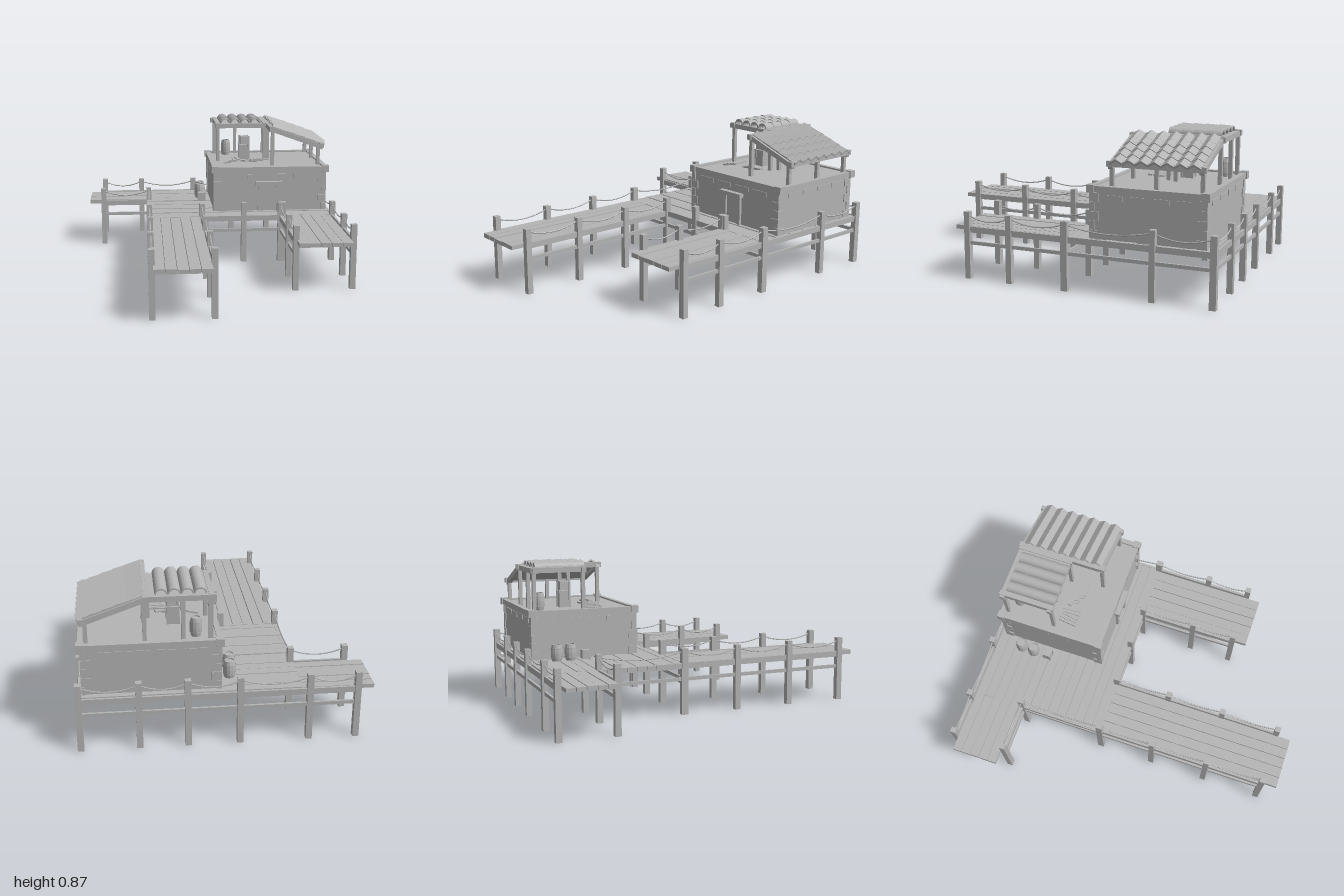
import * as THREE from 'three';

const mat = new THREE.MeshStandardMaterial({ color: 0xb4b4b4, side: THREE.DoubleSide, flatShading: true });
mat.name = 'weathered grey';

// Small seeded generator for slight irregularity
let seed = 7;
const rnd = () => (seed = (seed * 16807) % 2147483647) / 2147483647;

function add(parent, name, geo, x = 0, y = 0, z = 0) {
  const m = new THREE.Mesh(geo, mat);
  m.name = name;
  m.position.set(x, y, z);
  parent.add(m);
  return m;
}

// Box given by its limits on each axis
function box(parent, name, x0, x1, y0, y1, z0, z1) {
  return add(parent, name, new THREE.BoxGeometry(x1 - x0, y1 - y0, z1 - z0),
    (x0 + x1) / 2, (y0 + y1) / 2, (z0 + z1) / 2);
}

function group(parent, name) {
  const g = new THREE.Group();
  g.name = name;
  parent.add(g);
  return g;
}

// Deck of planks running along x or z, with thin wedge gaps between them
function deck(parent, name, x0, x1, z0, z1, count, alongX) {
  const g = group(parent, name);
  const w = (alongX ? z1 - z0 : x1 - x0) / count;
  for (let i = 0; i < count; i++) {
    const top = 0.3 + rnd() * 0.005, gap = 0.002 + rnd() * 0.002;
    const a = (alongX ? z0 : x0) + i * w, b = a + w - gap;
    if (alongX) box(g, 'plank', x0, x1, 0.278, top, a, b);
    else box(g, 'plank', a, b, 0.278, top, z0, z1);
  }
}

// Row of posts joined by an upper beam, a lower beam and sagging ropes
function railing(parent, name, pts, ropes = true) {
  const g = group(parent, name);
  pts.forEach(([x, z], i) => {
    box(g, 'post', x - 0.017, x + 0.017, 0, 0.39, z - 0.017, z + 0.017);
    if (!i) return;
    const [px, pz] = pts[i - 1];
    const len = Math.hypot(x - px, z - pz), mx = (x + px) / 2, mz = (z + pz) / 2;
    const turn = -Math.atan2(z - pz, x - px);
    add(g, 'upperBeam', new THREE.BoxGeometry(len, 0.034, 0.014), mx, 0.287, mz).rotation.y = turn;
    add(g, 'lowerBeam', new THREE.BoxGeometry(len, 0.02, 0.014), mx, 0.21, mz).rotation.y = turn;
    if (!ropes) return;
    const curve = new THREE.QuadraticBezierCurve3(
      new THREE.Vector3(px, 0.372, pz), new THREE.Vector3(mx, 0.305, mz), new THREE.Vector3(x, 0.372, z));
    add(g, 'rope', new THREE.TubeGeometry(curve, 10, 0.004, 5));
  });
}

function barrel(parent, x, y, z, r, h) {
  const prof = [[0, 0], [r * 0.78, 0], [r * 0.97, h * 0.3], [r, h * 0.5], [r * 0.97, h * 0.7], [r * 0.78, h],
    [r * 0.66, h], [r * 0.66, h * 0.94], [0, h * 0.94]].map(p => new THREE.Vector2(...p));
  const g = group(parent, 'barrel');
  add(g, 'barrelBody', new THREE.LatheGeometry(prof, 12), x, y, z);
  for (const t of [0.25, 0.75])
    add(g, 'barrelHoop', new THREE.CylinderGeometry(r, r, h * 0.07, 12, 1, true), x, y + h * t, z);
}

function crate(parent, x, y, z, s, h, turn = 0) {
  const g = group(parent, 'crate');
  g.position.set(x, y, z);
  g.rotation.y = turn;
  box(g, 'crateBody', -s * 0.44, s * 0.44, 0, h * 0.96, -s * 0.44, s * 0.44);
  for (const sx of [-1, 1]) for (const sz of [-1, 1])
    add(g, 'crateCorner', new THREE.BoxGeometry(s * 0.16, h, s * 0.16), sx * s * 0.42, h / 2, sz * s * 0.42);
}

function house(root) {
  const g = group(root, 'house');
  const x0 = 0.03, x1 = 0.762, z0 = -0.93, z1 = -0.285;
  box(g, 'walls', x0, x1, 0.3, 0.56, z0, z1);
  box(g, 'terraceFloor', x0, x1, 0.56, 0.584, z0, z1);
  // Parapet beams and their crossing ends
  box(g, 'rimFront', 0.015, 0.78, 0.562, 0.594, -0.305, -0.278);
  box(g, 'rimBack', 0.015, 0.78, 0.562, 0.594, -0.945, -0.915);
  box(g, 'rimLeft', 0.748, 0.778, 0.562, 0.594, -0.94, -0.28);
  box(g, 'rimRight', 0.02, 0.05, 0.562, 0.594, -0.94, -0.28);
  for (const x of [0.035, 0.763]) for (const z of [-0.93, -0.293])
    box(g, 'rimCorner', x - 0.022, x + 0.022, 0.557, 0.6, z - 0.022, z + 0.022);
  // Alternating corner stones
  for (let i = 0; i < 5; i++) {
    const y = 0.302 + i * 0.051, a = i % 2 ? 0.055 : 0.03, b = i % 2 ? 0.03 : 0.055;
    for (const [x, sx] of [[x0, 1], [x1, -1]]) for (const [z, sz] of [[z0, 1], [z1, -1]])
      add(g, 'cornerStone', new THREE.BoxGeometry(a, 0.049, b),
        x + sx * (a / 2 - 0.006), y + 0.0245, z + sz * (b / 2 - 0.006));
  }
  // Frieze blocks below the rim
  for (let i = 0; i < 4; i++) {
    const x = 0.1 + i * 0.15, z = -0.86 + i * 0.13;
    for (const zz of [z0, z1]) box(g, 'friezeBlock', x, x + 0.12, 0.517, 0.547, zz - 0.004, zz + 0.004);
    for (const xx of [x0, x1]) box(g, 'friezeBlock', xx - 0.004, xx + 0.004, 0.517, 0.547, z, z + 0.105);
  }
  // Door with jambs and lintel
  box(g, 'door', 0.345, 0.44, 0.3, 0.475, z1, z1 + 0.005);
  box(g, 'doorJamb', 0.318, 0.345, 0.3, 0.475, z1, z1 + 0.016);
  box(g, 'doorJamb', 0.44, 0.465, 0.3, 0.475, z1, z1 + 0.016);
  box(g, 'lintel', 0.302, 0.478, 0.475, 0.5, z1, z1 + 0.032);
}

function flatCanopy(root) {
  const g = group(root, 'flatCanopy');
  for (const [x, z] of [[0.08, -0.6], [0.08, -0.9], [0.225, -0.9], [0.4, -0.6]])
    box(g, 'canopyPost', x - 0.011, x + 0.011, 0.58, 0.82, z - 0.011, z + 0.011);
  for (const z of [-0.9, -0.6]) box(g, 'canopyBeam', 0.05, 0.425, 0.808, 0.838, z - 0.014, z + 0.014);
  for (const x of [0.078, 0.4]) box(g, 'canopyBeam', x - 0.014, x + 0.014, 0.812, 0.843, -0.92, -0.58);
  box(g, 'canopyBoard', 0.09, 0.39, 0.828, 0.838, -0.9, -0.6);
  // Half-round tiles in overlapping rows
  const arch = new THREE.Shape();
  arch.absarc(0, 0, 0.034, 0, Math.PI, false);
  arch.absarc(0, 0, 0.026, Math.PI, 0, true);
  const tile = new THREE.ExtrudeGeometry(arch, { depth: 0.084, bevelEnabled: false, curveSegments: 6 });
  for (let c = 0; c < 4; c++) for (let r = 0; r < 4; r++)
    add(g, 'roundTile', tile, 0.132 + c * 0.068, 0.836, -0.885 + r * 0.073).rotation.x = -0.06;
}

function slopedCanopy(root) {
  const g = group(root, 'slopedCanopy');
  for (const z of [-0.9, -0.65, -0.4]) {
    box(g, 'roofPost', 0.416, 0.438, 0.58, 0.82, z - 0.011, z + 0.011);
    box(g, 'roofPost', 0.722, 0.744, 0.58, 0.715, z - 0.011, z + 0.011);
  }
  const slope = Math.atan2(0.125, 0.35), rise = Math.tan(slope);
  const yAt = x => 0.826 - (x - 0.415) * rise;
  // Ridge, eave and rafters
  box(g, 'ridgeBeam', 0.405, 0.435, 0.81, 0.842, -0.925, -0.378);
  box(g, 'eaveBeam', 0.742, 0.768, 0.7, 0.73, -0.925, -0.378);
  for (const z of [-0.9, -0.4])
    add(g, 'rafter', new THREE.BoxGeometry(0.38, 0.03, 0.028), 0.585, yAt(0.585), z).rotation.z = -slope;
  add(g, 'roofBoard', new THREE.BoxGeometry(0.36, 0.008, 0.48), 0.59, yAt(0.59) + 0.008, -0.65).rotation.z = -slope;
  // Ridged tiles stepping down the slope
  const w = 0.036, ridge = new THREE.Shape([[-w, 0], [0, 0.022], [w, 0], [w, 0.012], [0, 0.034], [-w, 0.012]]
    .map(p => new THREE.Vector2(...p)));
  const tile = new THREE.ExtrudeGeometry(ridge, { depth: 0.088, bevelEnabled: false });
  tile.rotateY(Math.PI / 2);
  for (let r = 0; r < 5; r++) for (let c = 0; c < 7; c++) {
    const x = 0.425 + r * 0.066;
    add(g, 'ridgedTile', tile, x, yAt(x) + 0.008, -0.863 + c * 0.071).rotation.z = -slope + 0.06 - (r ? 0 : 0.04);
  }
}

function terraceGoods(root) {
  const g = group(root, 'terraceGoods');
  barrel(g, 0.155, 0.584, -0.85, 0.033, 0.105);
  crate(g, 0.265, 0.584, -0.67, 0.072, 0.105);
  crate(g, 0.268, 0.689, -0.67, 0.064, 0.055, 0.1);
  // Loose heaps of short boards
  for (let i = 0; i < 10; i++) {
    const left = i < 5, k = i % 5;
    const b = add(g, 'looseBoard', new THREE.BoxGeometry(0.11, 0.009, 0.024),
      left ? 0.125 + k * 0.02 : 0.285 + k * 0.02, 0.59 + k * 0.005, left ? -0.525 : -0.54 + k * 0.012);
    b.rotation.y = left ? 1.2 + rnd() * 0.7 : -0.5 + rnd() * 0.9;
  }
}

export function createModel() {
  const root = new THREE.Group();
  root.name = 'pierHouse';
  // Walkways
  deck(root, 'sideDock', -0.8, -0.41, -0.965, -0.68, 5, true);
  deck(root, 'mainDeck', -0.41, 0.785, -0.965, -0.14, 14, true);
  deck(root, 'longDock', -0.388, -0.072, -0.14, 1, 5, false);
  deck(root, 'shortDock', 0.452, 0.77, -0.14, 0.555, 5, false);
  // Railings around the edges
  railing(root, 'backRailing', [0.785, 0.47, 0.21, -0.07, -0.445, -0.705].map(x => [x, -0.983]));
  railing(root, 'leftRailing', [-0.98, -0.65, -0.14, 0.2, 0.465].map(z => [0.785, z]));
  railing(root, 'shortDockRailing', [-0.14, 0.2, 0.465].map(z => [0.447, z]));
  railing(root, 'longDockRailing', [-0.14, 0.2, 0.55, 0.905].map(z => [-0.06, z]));
  railing(root, 'rightRailing', [-0.66, -0.14, 0.2, 0.55, 0.905].map(z => [-0.395, z]));
  railing(root, 'sideDockRailing', [[-0.705, -0.66], [-0.395, -0.66]]);
  railing(root, 'frontEdge', [-0.395, -0.06, 0.21, 0.465, 0.785].map(x => [x, -0.145]), false);
  box(root, 'underPost', -0.144, -0.11, 0, 0.28, -0.677, -0.643);
  house(root);
  flatCanopy(root);
  slopedCanopy(root);
  terraceGoods(root);
  // Goods on the deck
  barrel(root, -0.032, 0.3, -0.8, 0.036, 0.1);
  barrel(root, -0.038, 0.3, -0.718, 0.036, 0.1);
  crate(root, -0.032, 0.3, -0.625, 0.052, 0.06);
  return root;
}
